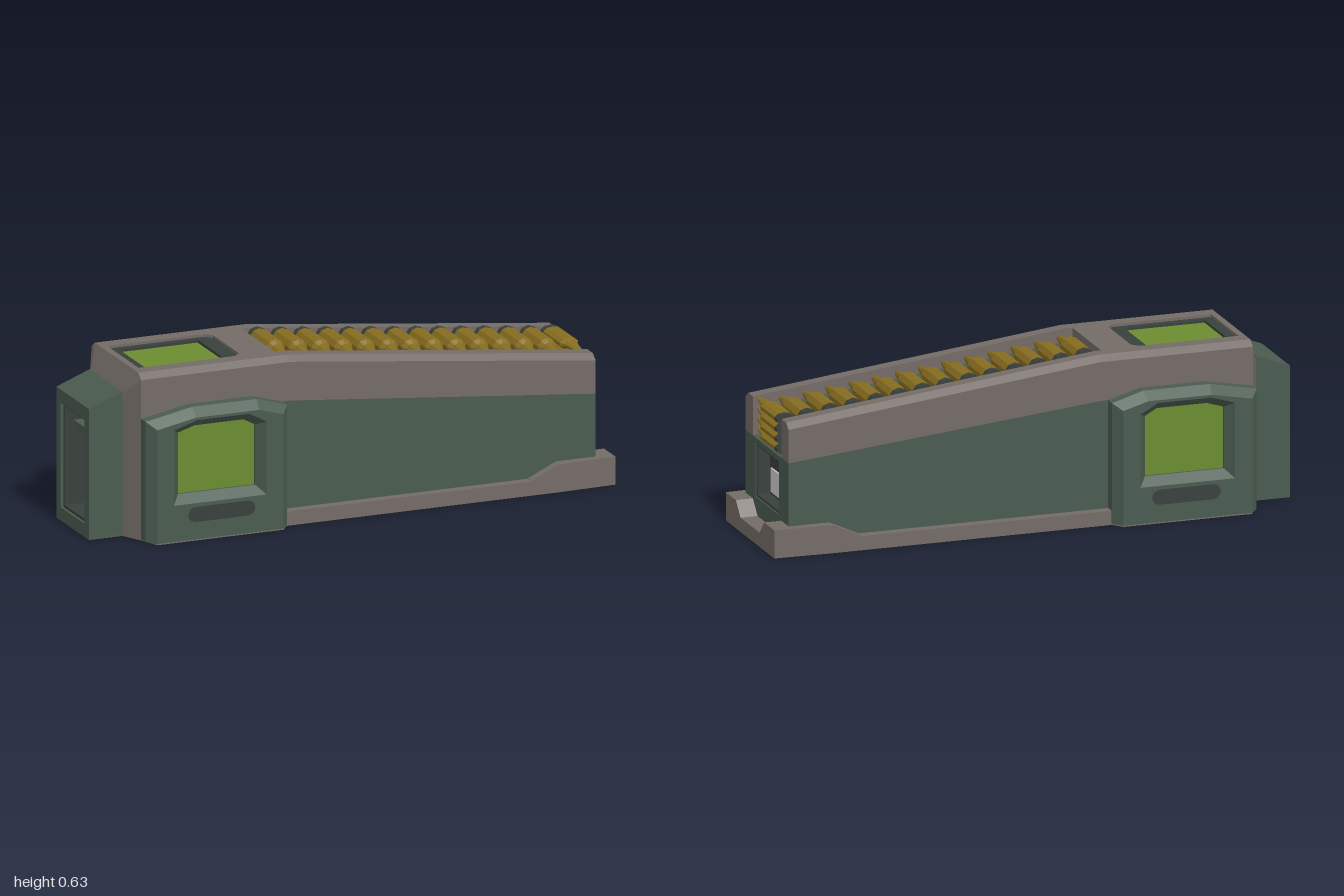
import * as THREE from 'three';

const mat = (name, color) => Object.assign(new THREE.MeshStandardMaterial({ color }), { name });

// Non-indexed geometry with flat normals
function flat(g) {
  const f = g.index ? g.toNonIndexed() : g;
  f.computeVertexNormals();
  return f;
}

// Skin rings of [z, y] points placed at x stations (ring order: top, +z, bottom, -z)
function loft(stations) {
  const rings = stations.map(([x, ring]) => ring.map(([z, y]) => [x, y, z]));
  const out = [];
  const tri = (a, b, c) => out.push(...a, ...b, ...c);
  const n = rings[0].length, last = rings[rings.length - 1];
  for (let s = 0; s < rings.length - 1; s++) {
    const a = rings[s], b = rings[s + 1];
    for (let i = 0; i < n; i++) {
      const j = (i + 1) % n;
      tri(a[i], a[j], b[j]);
      tri(a[i], b[j], b[i]);
    }
  }
  for (let i = 1; i < n - 1; i++) {
    tri(rings[0][0], rings[0][i + 1], rings[0][i]);
    tri(last[0], last[i], last[i + 1]);
  }
  const g = new THREE.BufferGeometry();
  g.setAttribute('position', new THREE.Float32BufferAttribute(out, 3));
  return flat(g);
}

// Mirror across z = 0, keeping faces outward
function flipZ(geo) {
  const g = geo.clone(), p = g.attributes.position;
  for (let i = 0; i < p.count; i += 3) {
    const v = [0, 2, 1].map(k => new THREE.Vector3().fromBufferAttribute(geo.attributes.position, i + k));
    v.forEach((q, k) => p.setXYZ(i + k, q.x, q.y, -q.z));
  }
  return flat(g);
}

const rect = (a, b, c, d) => [[a, c], [b, c], [b, d], [a, d]];

function extrude(outline, hole, depth, options = {}) {
  const pts = l => l.map(([x, y]) => new THREE.Vector2(x, y));
  const shape = new THREE.Shape(pts(outline));
  if (hole) shape.holes.push(new THREE.Path(pts(hole)));
  return flat(new THREE.ExtrudeGeometry(shape, { depth, bevelEnabled: false, ...options }));
}

// Change y of each vertex by a rule
function moveY(g, rule) {
  const p = g.attributes.position;
  for (let i = 0; i < p.count; i++) p.setY(i, rule(p.getX(i), p.getY(i)));
  return flat(g);
}

export function createModel() {
  const group = new THREE.Group();
  const green = mat('armour green', 0x4a5b4f), brown = mat('warm grey', 0x736b66);
  const dark = mat('dark green', 0x38403c), lime = mat('lime glass', 0x6b8c2f);
  const gold = mat('brass', 0x876d20), pale = mat('pale grey', 0xcccccc);
  const add = (name, geo, material, x = 0, y = 0, z = 0) => {
    const m = new THREE.Mesh(geo, material);
    m.name = name;
    m.position.set(x, y, z);
    group.add(m);
    return m;
  };
  const pair = (name, geo, material) => {
    add('left ' + name, geo, material);
    add('right ' + name, flipZ(geo), material);
  };
  const box = (name, material, w, h, d, x, y, z) => add(name, new THREE.BoxGeometry(w, h, d), material, x, y, z);
  const slope = (a, b) => x => a + (b - a) * Math.max(0, (x + 0.25) / 1.185);
  const top = slope(0.62, 0.485), low = slope(0.455, 0.34);
  const band = (w, y0, y1) => [[-w, y1], [w, y1], [w, y0], [-w, y0]];

  // Lower hull and its recessed end face
  add('lower hull', loft([-0.83, -0.25, 0.875].map(x => [x, band(0.228, 0.006, low(x))])), green);
  const face = extrude(rect(-0.228, 0.228, 0.02, 0.34), rect(-0.125, 0.125, 0.12, 0.32), 0.06);
  face.rotateY(Math.PI / 2).translate(0.875, 0, 0);
  add('end face', moveY(face, (x, y) => y > 0.335 ? y + (0.935 - x) * 0.097 : y), green);
  const liner = extrude(rect(-0.125, 0.125, 0.12, 0.32), rect(-0.116, 0.116, 0.129, 0.311), 0.054);
  add('end opening liner', liner.rotateY(Math.PI / 2), dark, 0.876);
  box('end recess back', dark, 0.006, 0.2, 0.25, 0.88, 0.22, 0);
  box('end panel', pale, 0.006, 0.09, 0.176, 0.887, 0.187, 0);

  // Upper rails with chamfered edges
  pair('upper rail', loft([-0.83, -0.25, 0.935].map(x => [x, [
    [0.152, top(x)], [0.2, top(x)], [0.228, top(x) - 0.02], [0.228, low(x)], [0.152, low(x)],
  ]])), brown);

  // Roof with sunken hatch
  const hatch = [[-0.805, -0.145], [-0.43, -0.145], [-0.405, -0.12], [-0.405, 0.12], [-0.43, 0.145], [-0.805, 0.145]];
  const roof = extrude(rect(-0.83, -0.28, -0.152, 0.152), hatch, 0.06).rotateX(-Math.PI / 2);
  add('roof deck', roof, brown, 0, 0.56);
  const rim = extrude(hatch, rect(-0.77, -0.465, -0.118, 0.118), 0.05).rotateX(-Math.PI / 2);
  add('hatch rim', rim, dark, 0, 0.56);
  box('hatch glass', lime, 0.32, 0.008, 0.25, -0.6175, 0.596, 0);

  // Tapered rear collar
  add('rear collar', loft([
    [-0.87, [[-0.14, 0.54], [0.14, 0.54], [0.15, 0.53], [0.15, 0], [-0.15, 0], [-0.15, 0.53]]],
    [-0.83, [[-0.2, 0.62], [0.2, 0.62], [0.228, 0.6], [0.228, 0], [-0.228, 0], [-0.228, 0.6]]],
  ]), brown);

  // Rear block with deep opening
  const rear = extrude(rect(-0.15, 0.15, 0, 0.49), rect(-0.11, 0.11, 0.05, 0.44), 0.13);
  rear.rotateY(Math.PI / 2).translate(-1, 0, 0);
  add('rear block', moveY(rear, (x, y) => y > 0.48 ? y + (x + 1) * 0.385 : y), green);
  const rearLiner = extrude(rect(-0.11, 0.11, 0.05, 0.44), rect(-0.1, 0.1, 0.06, 0.43), 0.11);
  add('rear opening liner', rearLiner.rotateY(Math.PI / 2), dark, -0.99);
  box('rear recess back', dark, 0.008, 0.39, 0.22, -0.878, 0.245, 0);
  box('rear recess ledge', green, 0.05, 0.03, 0.2, -0.93, 0.36, 0);

  // Side window pods: bevelled frame, sunken pane, slot
  const podOutline = [[-0.83, -0.03], [-0.28, -0.03], [-0.28, 0.455], [-0.4, 0.49], [-0.65, 0.49], [-0.83, 0.455]];
  const paneOutline = [[-0.705, 0.17], [-0.405, 0.17], [-0.405, 0.395], [-0.45, 0.42], [-0.64, 0.42], [-0.705, 0.4]];
  const pod = extrude(podOutline, paneOutline, 0.068,
    { bevelEnabled: true, bevelSegments: 1, bevelThickness: 0.037, bevelSize: 0.03, bevelOffset: -0.03 });
  pair('window pod', moveY(pod.translate(0, 0, 0.2), (x, y) => Math.max(y, 0.005)), green);
  pair('window pane', extrude(rect(-0.72, -0.39, 0.16, 0.43), null, 0.008).translate(0, 0, 0.25), lime);
  const slot = [];
  for (let i = 0; i < 14; i++) {
    const a = -Math.PI / 2 + Math.PI * (i % 7) / 6 + (i > 6 ? Math.PI : 0);
    slot.push([(i > 6 ? -0.652 : -0.448) + 0.028 * Math.cos(a), 0.098 + 0.028 * Math.sin(a)]);
  }
  pair('pod slot', extrude(slot, null, 0.004).translate(0, 0, 0.3025), dark);

  // Base: floor plate, skirt and raised end lips
  const plate = [[-1, -0.15], [-0.87, -0.15], [-0.83, -0.228], [-0.8, -0.304], [-0.31, -0.304], [-0.28, -0.265],
    [0.78, -0.265], [1, -0.257]];
  const outline = [...plate, ...plate.map(([x, z]) => [x, -z]).reverse()];
  add('floor plate', extrude(outline, null, 0.006).rotateX(-Math.PI / 2), brown);
  add('base skirt', loft([[-0.3, 0.265], [0.78, 0.265], [1, 0.257]].map(([x, w]) => [x, band(w, 0.001, 0.053)])), brown);
  pair('end lip', loft([[0.67, 0.054, 0.265], [0.78, 0.105, 0.265], [1, 0.105, 0.257]].map(([x, h, w]) =>
    [x, [[0.15, h], [w, h], [w, 0.03], [0.1, 0.03], [0.1, 0.052]]])), brown);

  // Cartridge tray floor
  add('tray floor', loft([-0.28, -0.25, 0.88].map(x => [x, band(0.152, low(x) - 0.01, top(x) - 0.05)])), green);

  // Cartridges: one row on the slope, then a stack down the end
  const lathe = pts => new THREE.LatheGeometry(pts.map(([r, z]) => new THREE.Vector2(r, z)), 10).rotateX(Math.PI / 2);
  const shell = flat(lathe([[0, -0.115], [0.038, -0.115], [0.038, 0.035], [0.026, 0.052], [0.01, 0.147], [0, 0.148]]));
  const base = flat(lathe([[0, -0.14], [0.038, -0.14], [0.038, -0.115], [0, -0.115]]));
  const round = (x, y, squash) => {
    const c = new THREE.Group();
    c.name = 'cartridge';
    c.position.set(x, y, 0);
    c.scale.y = squash;
    for (const [name, geo, m] of [['shell', shell, gold], ['shell base', base, dark]]) {
      const mesh = new THREE.Mesh(geo, m);
      mesh.name = name;
      c.add(mesh);
    }
    group.add(c);
  };
  for (let i = 0; i < 13; i++) {
    const x = -0.228 + i * 0.0879;
    round(x, top(x) - 0.029, 1);
  }
  for (let i = 0; i < 4; i++) round(0.912, 0.477 - i * 0.037, 0.55);

  return group;
}
